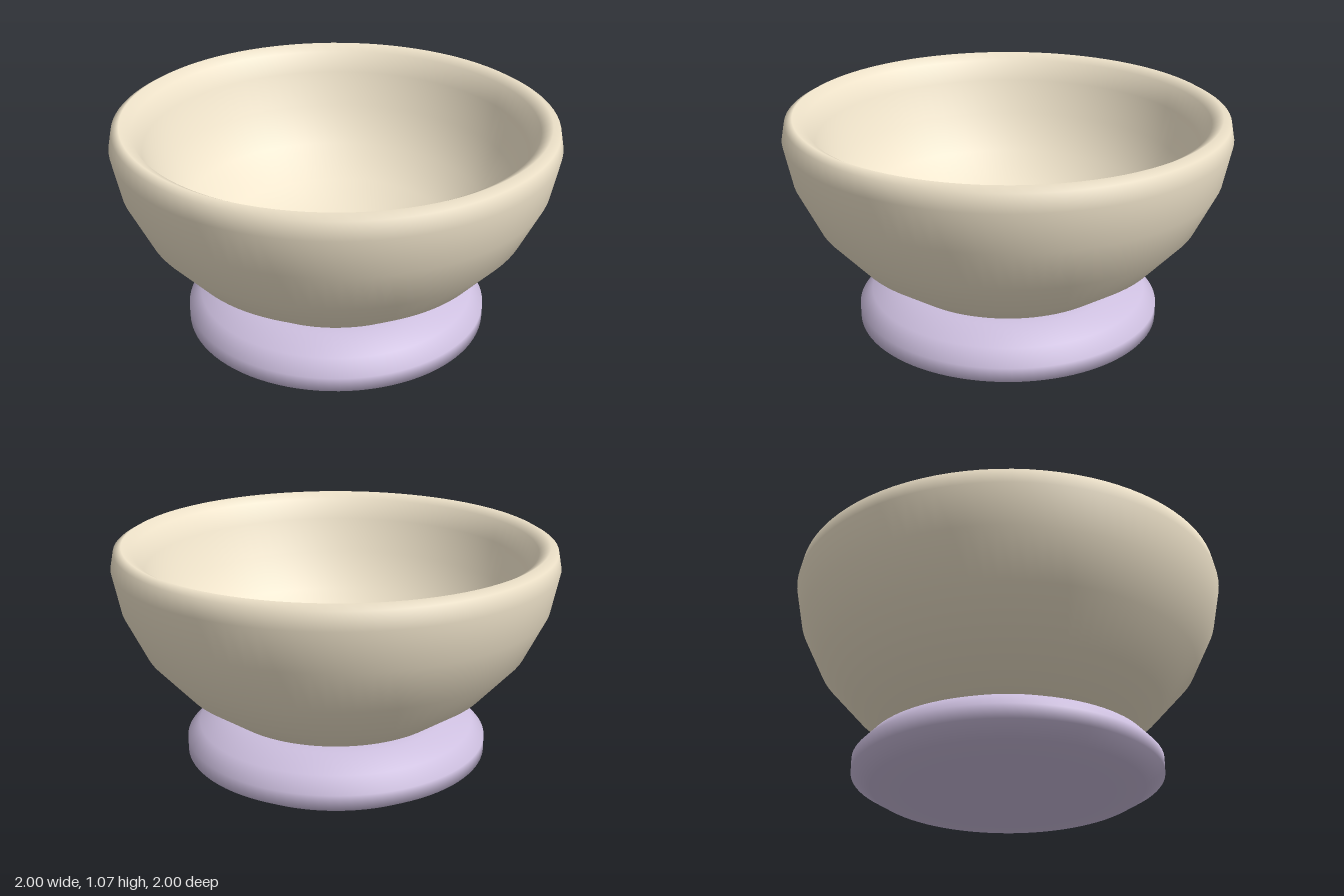
import * as THREE from 'three';

// Smooth solid of revolution from [radius, height] points, listed bottom to top on the outside
function turned(name, color, profile) {
  const points = profile.map(([r, y]) => new THREE.Vector2(r, y));
  const mesh = new THREE.Mesh(
    new THREE.LatheGeometry(points, 96),
    new THREE.MeshStandardMaterial({ color })
  );
  mesh.name = name;
  return mesh;
}

export function createModel() {
  const group = new THREE.Group();
  group.name = 'footedBowl';

  // Rounded foot disc, slightly domed underneath
  group.add(turned('foot', 0xcdbfdf, [
    [0, 0.005], [0.45, 0.01], [0.61, 0.026], [0.699, 0.08], [0.699, 0.145],
    [0.64, 0.21], [0.53, 0.262], [0.45, 0.273], [0, 0.273],
  ]));

  // Thick bowl: outer wall, rounded rim, then inner wall sloping in to a raised floor
  group.add(turned('bowl', 0xf0e4cb, [
    [0, 0.273], [0.46, 0.275], [0.53, 0.293], [0.71, 0.42], [0.87, 0.6],
    [0.965, 0.8], [1, 0.98], [0.985, 1.055], [0.95, 1.075],
    [0.9, 1.045], [0.86, 0.95], [0.805, 0.79], [0.7, 0.62],
    [0.55, 0.49], [0.36, 0.4], [0.18, 0.36], [0, 0.345],
  ]));

  return group;
}
